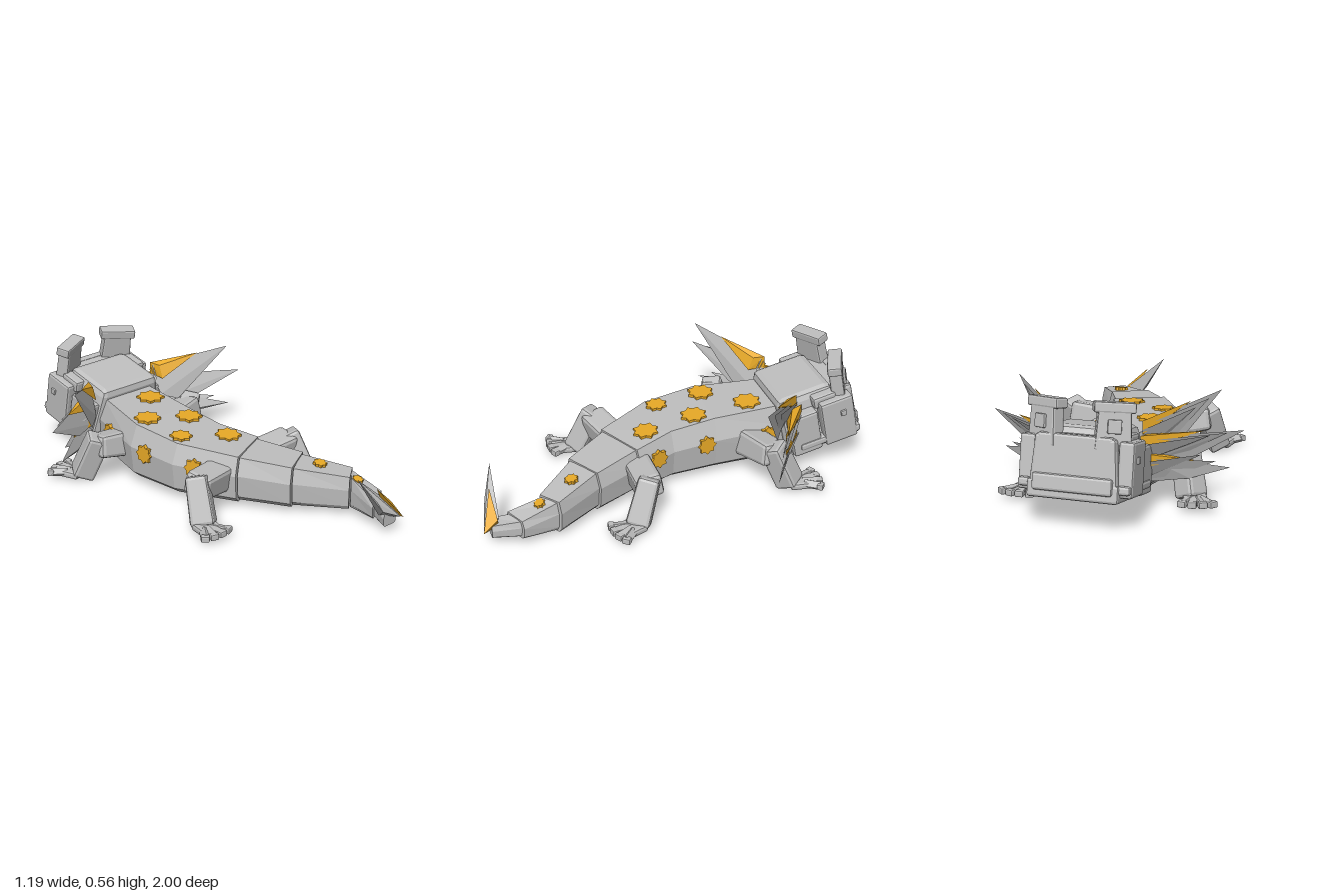
import * as THREE from 'three';
import { RoundedBoxGeometry } from 'three/addons/geometries/RoundedBoxGeometry.js';
import { ConvexGeometry } from 'three/addons/geometries/ConvexGeometry.js';

const V = (x, y, z) => new THREE.Vector3(x, y, z);
const lerp = THREE.MathUtils.lerp;

export function createModel() {
  const grey = new THREE.MeshStandardMaterial({ color: 0xbebebe });
  grey.name = 'stoneGrey';
  const gold = new THREE.MeshStandardMaterial({ color: 0xeeae28 });
  gold.name = 'gold';
  const model = new THREE.Group();
  model.name = 'salamander';

  const add = (parent, name, geometry, material = grey) => {
    const mesh = new THREE.Mesh(geometry, material);
    mesh.name = name;
    parent.add(mesh);
    return mesh;
  };

  // Box with chamfered edges and flat facets
  const block = (w, h, d, bevel = 0.012) => {
    const g = new RoundedBoxGeometry(w, h, d, 1, bevel);
    g.computeVertexNormals();
    return g;
  };

  // Block whose width changes towards its top
  const tapered = (w, h, d, topX, bevel) => {
    const g = block(w, h, d, bevel);
    const p = g.attributes.position;
    for (let i = 0; i < p.count; i++) p.setX(i, p.getX(i) * lerp(1, topX, p.getY(i) / h + 0.5));
    g.computeVertexNormals();
    return g;
  };

  // Chamfered beam between two points
  const beam = (parent, name, a, b, w, d, taper = 1) => {
    const dir = b.clone().sub(a);
    const mesh = add(parent, name, tapered(w, dir.length(), d, taper, Math.min(w, d) * 0.16));
    mesh.position.copy(a).add(b).multiplyScalar(0.5);
    mesh.quaternion.setFromUnitVectors(V(0, 1, 0), dir.normalize());
  };

  // Body and tail: [left x, left z, right x, right z, bottom, top]
  const rings = [
    [-0.15, -0.60, 0.19, -0.60, 0.04, 0.325],
    [-0.26, -0.27, 0.14, -0.22, 0.03, 0.308],
    [-0.255, 0.00, 0.125, 0.00, 0.03, 0.288],
    [-0.135, 0.29, 0.165, 0.19, 0.03, 0.265],
    [0.00, 0.51, 0.215, 0.42, 0.03, 0.235],
    [0.175, 0.72, 0.295, 0.65, 0.03, 0.195],
    [0.155, 0.87, 0.285, 0.83, 0.04, 0.135],
    [0.13, 0.95, 0.215, 0.96, 0.04, 0.105],
  ];
  const half = [[0.74, 0], [0.93, 0.12], [1, 0.62], [0.8, 1]];
  const section = [...half, ...half.map(([u, v]) => [-u, v]).reverse()];
  const loft = (list) => {
    const pts = list.map(([lx, lz, rx, rz, y0, y1]) => section.map(([u, v]) =>
      V(lerp(lx, rx, (u + 1) / 2), lerp(y0, y1, v), lerp(lz, rz, (u + 1) / 2))));
    const tri = [];
    const n = section.length;
    for (let i = 0; i + 1 < pts.length; i++) {
      for (let j = 0; j < n; j++) {
        const k = (j + 1) % n;
        const [a, b, c, d] = [pts[i][j], pts[i][k], pts[i + 1][k], pts[i + 1][j]];
        tri.push(a, b, c, a, c, d);
      }
    }
    const end = pts[pts.length - 1];
    for (let j = 1; j + 1 < n; j++) {
      tri.push(pts[0][0], pts[0][j + 1], pts[0][j], end[0], end[j], end[j + 1]);
    }
    const g = new THREE.BufferGeometry().setFromPoints(tri);
    g.computeVertexNormals();
    return g;
  };
  // Each segment starts a little narrower, leaving a step at the joint
  const inset = ([lx, lz, rx, rz, y0, y1], s) =>
    [lx + s, lz, rx - s, rz, y0 + s / 2, y1 - s / 2];
  for (let i = 0; i + 1 < rings.length; i++) {
    const start = i > 2 ? inset(rings[i], 0.014) : rings[i];
    add(model, i < 3 ? 'bodySegment' : 'tailSegment', loft([start, rings[i + 1]]));
  }

  // Eight-pointed star plates
  const starGeometry = (r) => {
    const shape = new THREE.Shape();
    for (let i = 0; i < 16; i++) {
      const a = (i * Math.PI) / 8;
      const q = i % 2 ? r * 0.76 : r;
      shape[i ? 'lineTo' : 'moveTo'](q * Math.cos(a), q * Math.sin(a));
    }
    const g = new THREE.ExtrudeGeometry(shape, { depth: 0.018, bevelEnabled: false });
    return g.translate(0, 0, -0.009);
  };
  const star = (name, r, pos, normal) => {
    const mesh = add(model, name, starGeometry(r), gold);
    mesh.position.copy(pos);
    mesh.lookAt(pos.clone().add(normal));
  };
  const topStars = [
    [0.045, 0.318, -0.43, 0.07, 0.03], [-0.14, 0.312, -0.27, 0.066, 0.03],
    [0.025, 0.303, -0.15, 0.066, 0.05], [-0.155, 0.293, -0.035, 0.054, 0.06],
    [0.025, 0.28, 0.105, 0.064, 0.08], [0.17, 0.22, 0.55, 0.034, 0.18],
    [0.225, 0.174, 0.73, 0.028, 0.33],
  ];
  for (const [x, y, z, r, tilt] of topStars) star('backStar', r, V(x, y, z), V(0, 1, tilt));
  const sideStars = [
    [0.18, -0.48, 1, 0.1], [0.134, -0.17, 1, 0], [0.144, 0.09, 1, -0.15],
    [-0.195, -0.48, -1, -0.3], [-0.258, -0.18, -1, 0], [-0.215, 0.10, -1, 0.35],
  ];
  for (const [x, z, nx, nz] of sideStars) star('sideStar', 0.048, V(x, 0.19, z), V(nx, 0.05, nz));

  // Legs with fanned toes; dir is the way the toes point along z
  const leg = (name, side, dir, z) => {
    const g = new THREE.Group();
    g.name = name;
    const p = (x, y, dz) => V(side * x, y, z + dir * dz);
    beam(g, 'upperLeg', p(0.11, 0.155, -0.03), p(0.345, 0.185, 0.01), 0.135, 0.13, 0.8);
    beam(g, 'lowerLeg', p(0.325, 0.232, 0.0), p(0.37, 0.022, 0.085), 0.1, 0.11, 1.15);
    const palm = add(g, 'palm', block(0.11, 0.035, 0.1));
    palm.position.copy(p(0.39, 0.03, 0.12));
    palm.rotation.y = side * dir * 0.25;
    for (let i = 0; i < 4; i++) {
      const a = -0.3 + i * 0.36;
      const x = 0.37 + i * 0.018;
      const to = p(x + Math.sin(a) * 0.078, 0.035, 0.13 + Math.cos(a) * 0.085);
      beam(g, 'toe', p(x, 0.035, 0.13), to, 0.036, 0.026);
      const tip = add(g, 'toeTip', block(0.04, 0.03, 0.03, 0.006));
      tip.position.copy(to);
      tip.rotation.y = side * dir * a;
    }
    model.add(g);
  };
  for (const side of [1, -1]) {
    leg('hindLeg', side, 1, 0.22);
    leg('frontLeg', side, -1, -0.42);
  }

  // Head turns slightly about the neck
  const neck = new THREE.Group();
  neck.name = 'head';
  neck.position.z = -0.39;
  neck.rotation.y = -0.11;
  model.add(neck);
  const head = new THREE.Group();
  head.name = 'headParts';
  head.position.z = 0.39;
  neck.add(head);
  const skull = new THREE.Group();
  skull.name = 'skull';
  skull.position.set(0.007, 0.215, -0.768);
  skull.rotation.x = 0.2;
  head.add(skull);

  const place = (name, g, x, y, z) => {
    skull.add(add(skull, name, g));
    skull.children[skull.children.length - 1].position.set(x, y, z);
  };
  place('crown', tapered(0.44, 0.26, 0.29, 0.78, 0.035), 0, 0.065, 0.05);
  place('snout', tapered(0.40, 0.24, 0.2, 0.9, 0.015), 0, 0.04, -0.09);
  place('jaw', block(0.41, 0.08, 0.385), 0, -0.075, 0.0);
  place('lip', block(0.36, 0.075, 0.05), 0, -0.045, -0.18);
  place('browBar', block(0.34, 0.04, 0.04), 0, 0.145, -0.17);
  for (const s of [1, -1]) {
    place('rearCheek', block(0.07, 0.22, 0.15), s * 0.21, 0.01, 0.1);
    place('frontCheek', block(0.07, 0.24, 0.17), s * 0.222, 0.03, -0.075);
    place('cheekBand', block(0.06, 0.04, 0.32), s * 0.222, -0.055, -0.02);
    place('temple', block(0.06, 0.06, 0.12), s * 0.19, 0.145, -0.03);
    place('cheekStud', block(0.02, 0.03, 0.03, 0.005), s * 0.257, 0.07, -0.1);
    // Raised eye with brow plate
    const eye = new THREE.Group();
    eye.name = 'eye';
    eye.position.set(s * 0.15, 0.195, -0.132);
    eye.rotation.y = -s * 0.45;
    skull.add(eye);
    add(eye, 'eyeStalk', tapered(0.16, 0.18, 0.065, 0.88, 0.01));
    add(eye, 'eyeBrow', block(0.18, 0.046, 0.07, 0.008)).position.y = 0.095;
    add(eye, 'pupil', block(0.06, 0.06, 0.02, 0.005)).position.set(0, 0.015, -0.035);
  }

  // Three gills on each side: base top, base bottom, outer corner, tip, barb lift, setback
  const gills = [
    [0.40, 0.25, V(0.28, 0.225, -0.50), V(0.485, 0.505, -0.355), 0, 0.03],
    [0.34, 0.20, V(0.36, 0.205, -0.50), V(0.60, 0.335, -0.385), 0.012, 0],
    [0.26, 0.12, V(0.38, 0.125, -0.50), V(0.54, 0.16, -0.40), 0.05, 0],
  ];
  for (const s of [1, -1]) {
    for (const [y1, y0, corner, tip, lift, back] of gills) {
      const g = new THREE.Group();
      g.name = 'gill';
      head.add(g);
      const hull = (name, pts, mat) =>
        add(g, name, new ConvexGeometry(pts.map((q) => V(s * q.x, q.y, q.z))), mat);
      const root = V(0.22, (y0 + y1) / 2, -0.59 + back);
      for (let k = 0; k < 3; k++) {
        const t = tip.clone().lerp(root, k * 0.17);
        t.y += k * lift * 0.7;
        t.z -= k * 0.018;
        hull('gillSpike', [
          V(0.2, y1 - k * 0.015, -0.64 + back - k * 0.012), V(0.21, y0 + k * 0.015, -0.585 + back - k * 0.012),
          corner.clone().lerp(root, k * 0.3), t,
        ]);
      }
      // Gold strip along the upper inner edge
      const goldTip = V(0.21, y1, -0.62 + back).lerp(tip, 0.58);
      goldTip.y += 0.008;
      hull('gillRoot', [
        V(0.2, y1 + 0.01, -0.655 + back), V(0.2, y1 - 0.05, -0.66 + back),
        V(0.215, y1 - 0.06, -0.575 + back), V(0.215, y1 + 0.005, -0.6 + back), goldTip,
      ], gold);
    }
  }

  // Tail barb
  add(model, 'tailBarb', new ConvexGeometry([
    V(0.11, 0.13, 0.96), V(0.2, 0.085, 0.995), V(0.15, 0.08, 0.91),
    V(0.2, 0.14, 0.92), V(0.085, 0.18, 0.945), V(0.005, 0.307, 0.885),
  ]));
  add(model, 'tailBarbRoot', new ConvexGeometry([
    V(0.215, 0.08, 1.0), V(0.215, 0.135, 0.93), V(0.19, 0.09, 0.92), V(0.1, 0.24, 0.925),
  ]), gold);

  return model;
}
